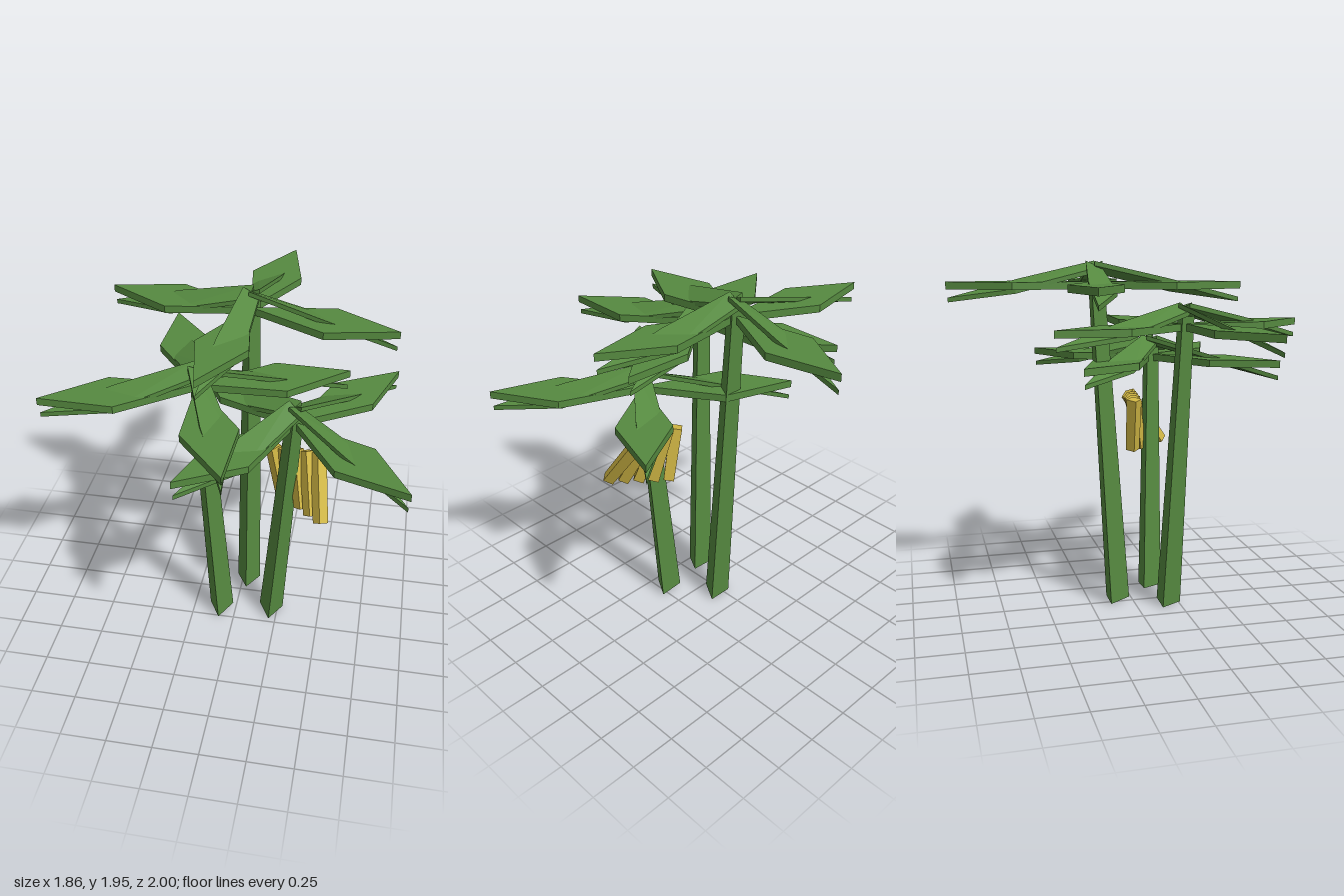
import * as THREE from 'three';
import { ConvexGeometry } from 'three/addons/geometries/ConvexGeometry.js';

const V = (x, y, z) => new THREE.Vector3(x, y, z);

// thin plate: a convex outline given vertical thickness
function plate(points, thickness) {
  const top = points.map((p) => V(...p));
  const bottom = top.map((p) => V(p.x, p.y - thickness, p.z));
  return new ConvexGeometry([...top, ...bottom]);
}

// straight tapered prism between two points
function prism(name, from, to, r0, r1, sides, material) {
  const axis = to.clone().sub(from);
  const mesh = new THREE.Mesh(new THREE.CylinderGeometry(r1, r0, axis.length(), sides), material);
  mesh.quaternion.setFromUnitVectors(V(0, 1, 0), axis.normalize());
  mesh.position.copy(from).add(to).multiplyScalar(0.5);
  mesh.name = name;
  return mesh;
}

export function createModel() {
  const model = new THREE.Group();
  model.name = 'bananaPlants';
  const green = new THREE.MeshStandardMaterial({ color: 0x568a40 });
  green.name = 'leafGreen';
  green.flatShading = true;
  const yellow = new THREE.MeshStandardMaterial({ color: 0xd0b644 });
  yellow.name = 'bananaYellow';
  yellow.flatShading = true;

  // leaf layers point along +x, heights relative to the level blade
  const blade = plate([[0, 0.02, 0], [0.435, 0.02, 0.143], [0.8, 0.02, 0], [0.435, 0.02, -0.143]], 0.04);
  const droop = plate([
    [0, 0.13, 0.045], [0.41, 0.035, 0.04], [0.79, -0.065, 0],
    [0.42, -0.015, -0.105], [0, 0.09, -0.045],
  ], 0.025);

  // base, crown and direction of the first leaf for each plant
  const plants = [
    { base: V(-0.09, 0.004, 0.18), crown: V(-0.18, 1.6, 0.245), dir: [-0.27, -0.755] },
    { base: V(0.033, 0.004, -0.095), crown: V(0.02, 1.82, -0.21), dir: [0.14, -0.79] },
    { base: V(0.21, 0.004, 0.145), crown: V(0.315, 1.385, 0.18), dir: [0.61, 0.51] },
  ];

  plants.forEach(({ base, crown, dir }) => {
    const plant = new THREE.Group();
    plant.name = 'plant';
    const top = crown.clone().add(V(0, 0.06, 0));
    plant.add(prism('trunk', base, top, 0.081, 0.053, 3, green));
    for (let i = 0; i < 4; i++) {
      const leaf = new THREE.Group();
      leaf.name = 'leaf';
      [['leafBlade', blade], ['droopingBlade', droop]].forEach(([name, geometry]) => {
        const mesh = new THREE.Mesh(geometry, green);
        mesh.name = name;
        leaf.add(mesh);
      });
      leaf.position.copy(crown);
      leaf.rotation.y = Math.atan2(-dir[1], dir[0]) + (i * Math.PI) / 2;
      plant.add(leaf);
    }
    model.add(plant);
  });

  // fan of bananas hanging behind the shortest trunk
  const bunch = new THREE.Group();
  bunch.name = 'bananaBunch';
  for (let i = 0; i < 5; i++) {
    const t = i / 4;
    const from = V(0.25 + 0.24 * t, 0.845, 0.06 + 0.235 * t);
    const to = V(0.19 + 0.25 * t, 1.155, 0.055 + 0.02 * t);
    bunch.add(prism('banana', from, to, 0.041, 0.045, 4, yellow));
  }
  model.add(bunch);
  return model;
}
